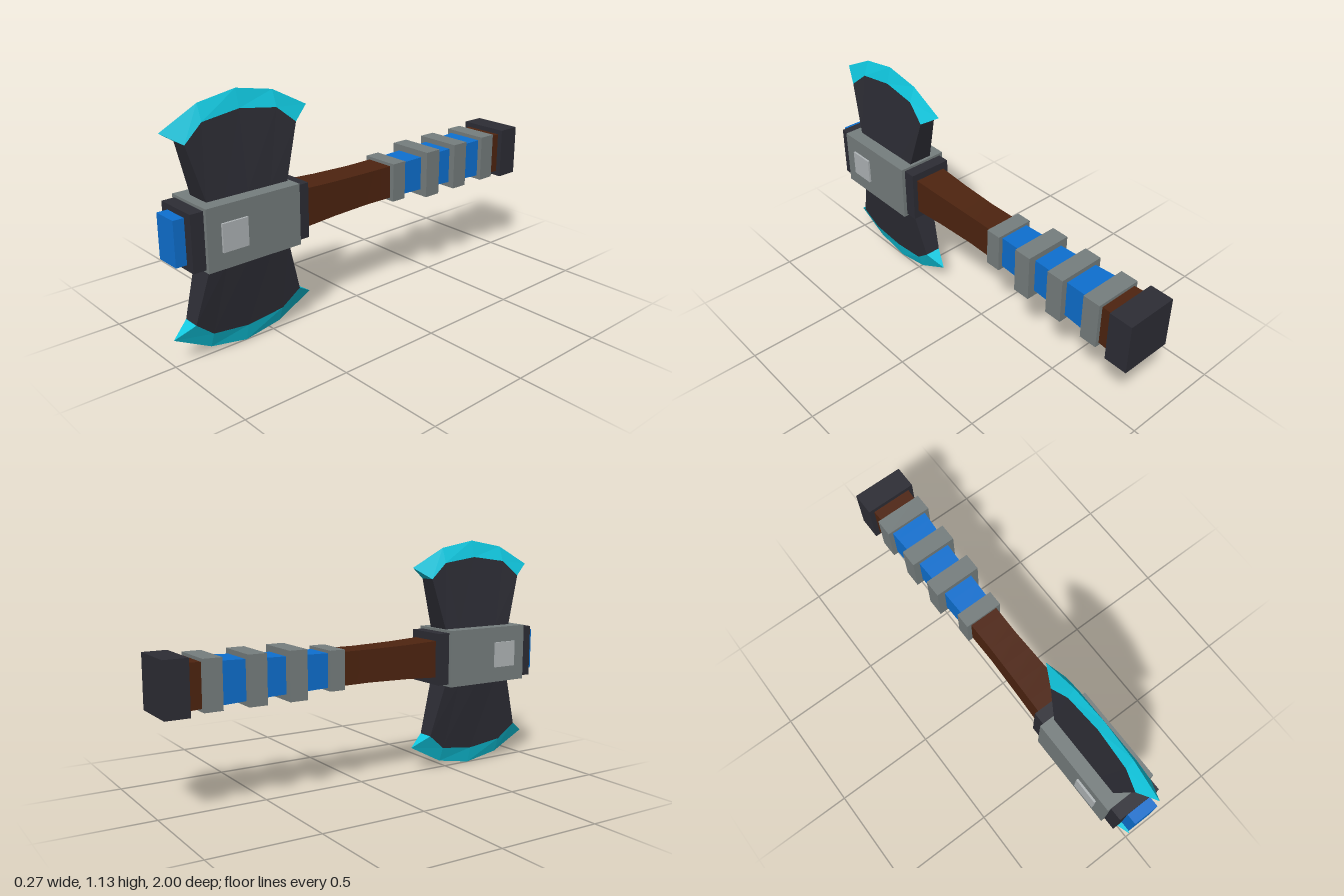
import * as THREE from 'three';

const mat = (name, color) => {
  const m = new THREE.MeshStandardMaterial({ color });
  m.name = name;
  return m;
};

export function createModel() {
  const dark = mat('dark iron', 0x2d2d35);
  const teal = mat('teal edge', 0x10c8e0);
  const brown = mat('brown wood', 0x4e2410);
  const blue = mat('blue wrap', 0x0e70d0);
  const grey = mat('grey steel', 0x767e7e);
  const pale = mat('pale steel', 0xb0b5b7);

  const group = new THREE.Group();
  group.name = 'doubleAxe';
  const AXIS = 0.57;

  const add = (name, geo, material, y = AXIS) => {
    const mesh = new THREE.Mesh(geo, material);
    mesh.name = name;
    mesh.position.y = y;
    group.add(mesh);
    return mesh;
  };

  // Box centred on the shaft, given half width, half height and z range
  const block = (name, hx, hy, z0, z1, material) =>
    add(name, new THREE.BoxGeometry(2 * hx, 2 * hy, z1 - z0).translate(0, 0, (z0 + z1) / 2), material);

  // Head
  block('headCore', 0.107, 0.125, 0.37, 0.95, dark);
  block('headCollar', 0.125, 0.137, 0.43, 0.89, grey);
  block('frontGem', 0.062, 0.1, 0.9, 1.0, blue);
  block('sidePads', 0.135, 0.062, 0.7, 0.823, pale);

  // Shaft: square section whose half width and height follow [z, hx, hy]
  const profile = [
    [0.4, 0.082, 0.09], [0.2, 0.075, 0.081], [0, 0.07, 0.077],
    [-0.2, 0.072, 0.078], [-0.5, 0.08, 0.085], [-0.9, 0.1, 0.1],
  ];
  const sizeAt = (z) => {
    let i = 0;
    while (i < profile.length - 2 && z < profile[i + 1][0]) i++;
    const [a, b] = [profile[i], profile[i + 1]];
    const t = (z - a[0]) / (b[0] - a[0]);
    return [1, 2].map((k) => a[k] + (b[k] - a[k]) * t);
  };
  const shaft = (name, z0, z1, material) => {
    const steps = Math.max(1, Math.round((z1 - z0) / 0.1));
    const geo = new THREE.BoxGeometry(2, 2, z1 - z0, 1, 1, steps).translate(0, 0, (z0 + z1) / 2);
    const p = geo.attributes.position;
    for (let i = 0; i < p.count; i++) {
      const [hx, hy] = sizeAt(p.getZ(i));
      p.setXY(i, p.getX(i) * hx, p.getY(i) * hy);
    }
    geo.computeVertexNormals();
    add(name, geo, material);
  };
  shaft('shaft', -0.2, 0.4, brown);
  shaft('gripWrap', -0.8, -0.2, blue);
  shaft('shaftEnd', -0.9, -0.8, brown);

  // Grip rings and pommel
  block('frontRing', 0.094, 0.092, -0.222, -0.146, grey);
  [-0.39, -0.583, -0.785].forEach((z, i) =>
    block('gripRing' + (i + 1), 0.115, 0.112, z - 0.043, z + 0.043, grey));
  block('pommel', 0.124, 0.123, -1, -0.888, dark);

  // Blade rows from root to edge: [z offset, height above centre, half thickness]
  const MID = 0.645;
  const mirrorRow = (half) => [...half, ...half.slice(0, -1).reverse().map(([z, y, x]) => [-z, y, x])];
  const root = mirrorRow([[0.186, 0.1, 0.064], [0.1, 0.1, 0.064], [0, 0.1, 0.064]]);
  const neck = mirrorRow([[0.2, 0.142, 0.06], [0.115, 0.142, 0.06], [0, 0.142, 0.06]]);
  const inner = mirrorRow([[0.269, 0.385, 0.04], [0.18, 0.459, 0.027], [0, 0.483, 0.021]]);
  const edge = mirrorRow([[0.355, 0.44, 0], [0.18, 0.531, 0], [0, 0.563, 0]]);

  // Closed strips between neighbouring rows, flat shaded
  const bladeGeometry = (rows) => {
    const v = [];
    const at = ([z, y, x], side) => [x * side, y, MID + z];
    const quad = (a, b, c, d) => v.push(...a, ...b, ...c, ...a, ...c, ...d);
    for (let r = 0; r < rows.length - 1; r++) {
      const [lo, hi] = [rows[r], rows[r + 1]];
      for (let i = 0; i < lo.length - 1; i++) {
        quad(at(lo[i], 1), at(lo[i + 1], 1), at(hi[i + 1], 1), at(hi[i], 1));
        quad(at(lo[i + 1], -1), at(lo[i], -1), at(hi[i], -1), at(hi[i + 1], -1));
      }
      const n = lo.length - 1;
      quad(at(lo[0], -1), at(lo[0], 1), at(hi[0], 1), at(hi[0], -1));
      quad(at(lo[n], 1), at(lo[n], -1), at(hi[n], -1), at(hi[n], 1));
    }
    const geo = new THREE.BufferGeometry();
    geo.setAttribute('position', new THREE.Float32BufferAttribute(v, 3));
    geo.computeVertexNormals();
    return geo;
  };

  // Upper blade, and the same turned half round the shaft for the lower one
  const plate = bladeGeometry([root, neck, inner]);
  const rim = bladeGeometry([inner, edge]);
  for (const [name, turn] of [['upper', 0], ['lower', Math.PI]]) {
    add(name + 'Blade', plate, dark, 0.565).rotation.z = turn;
    add(name + 'CuttingEdge', rim, teal, 0.565).rotation.z = turn;
  }
  return group;
}
